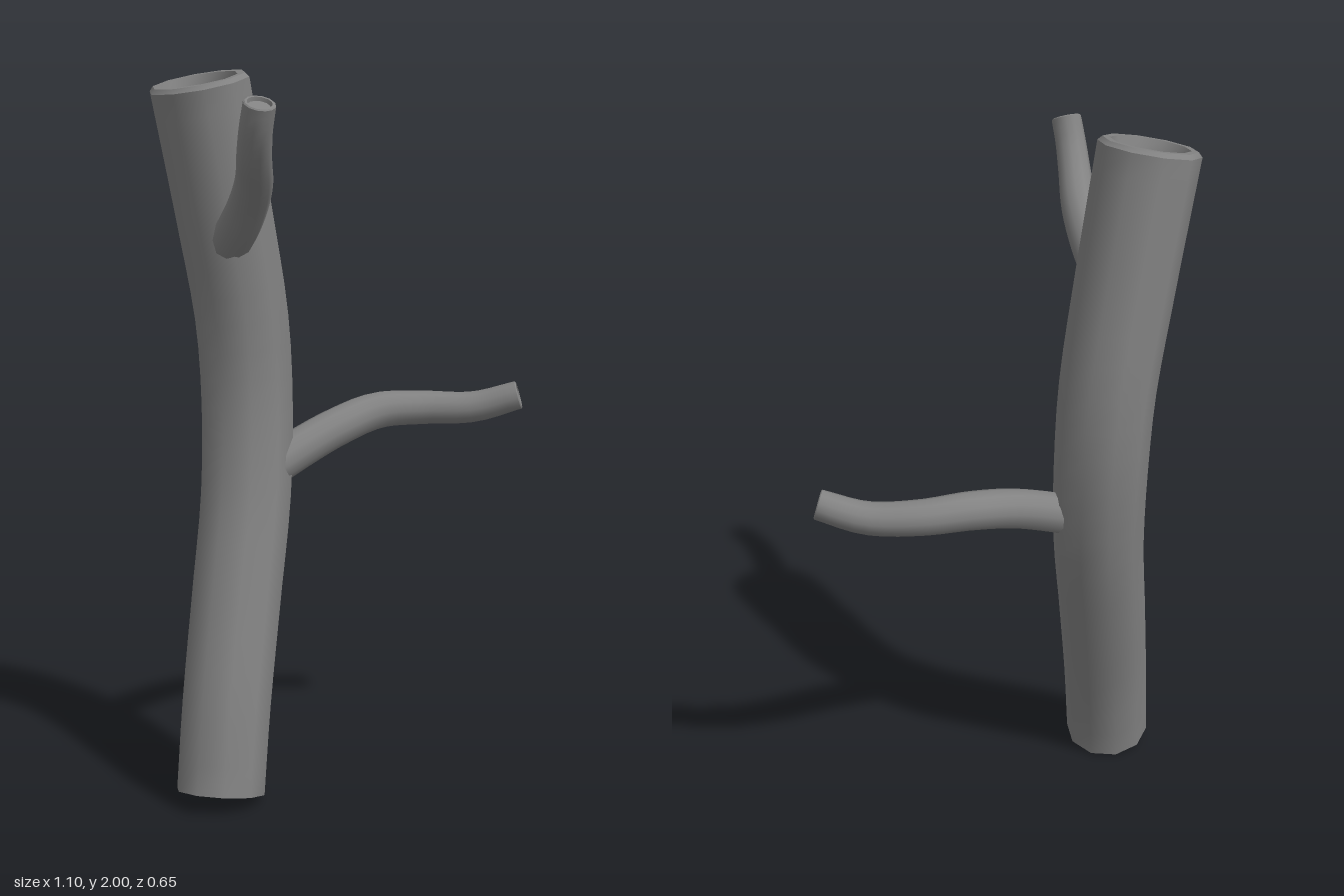
import * as THREE from 'three';
import { toCreasedNormals } from 'three/addons/utils/BufferGeometryUtils.js';

const material = new THREE.MeshStandardMaterial({ color: 0x828282, side: THREE.DoubleSide });

// Tapered limb swept along a curve, open at the base, with a bevelled, hollowed cut end.
// points: [x, y, z, radius]
function limb(name, points, { sides, steps, bevel, twist = 0 }) {
  const curve = new THREE.CatmullRomCurve3(points.map(p => new THREE.Vector3(p[0], p[1], p[2])));
  const frames = curve.computeFrenetFrames(steps, false);
  const radiusAt = u => {
    const t = curve.getUtoTmapping(u) * (points.length - 1);
    const i = Math.min(Math.floor(t), points.length - 2);
    return THREE.MathUtils.lerp(points[i][3], points[i + 1][3], t - i);
  };

  // Rings: frame index, distance along the tangent, radius
  const rings = [];
  for (let i = 0; i < steps; i++) rings.push([i, 0, radiusAt(i / steps)]);
  const r = points[points.length - 1][3];
  rings.push(
    [steps, -bevel, r],               // outer edge of the cut
    [steps, 0, r * 0.92],             // bevel
    [steps, 0, r * 0.78],             // flat rim
    [steps, -r * 0.24, r * 0.71],     // recess wall
    [steps, -r * 0.24, 0]             // recess floor
  );

  const positions = [], index = [];
  rings.forEach(([f, along, radius], k) => {
    const centre = curve.getPointAt(f / steps).addScaledVector(frames.tangents[f], along);
    for (let j = 0; j < sides; j++) {
      const a = j / sides * Math.PI * 2 + twist;
      const v = centre.clone()
        .addScaledVector(frames.normals[f], Math.cos(a) * radius)
        .addScaledVector(frames.binormals[f], Math.sin(a) * radius);
      positions.push(v.x, v.y, v.z);
      if (k === 0) continue;
      const n = (j + 1) % sides, lo = (k - 1) * sides, hi = k * sides;
      index.push(lo + j, lo + n, hi + n);
      if (k < rings.length - 1) index.push(lo + j, hi + n, hi + j);
    }
  });

  const geometry = new THREE.BufferGeometry();
  geometry.setAttribute('position', new THREE.Float32BufferAttribute(positions, 3));
  geometry.setIndex(index);
  const mesh = new THREE.Mesh(toCreasedNormals(geometry, 0.7), material);
  mesh.name = name;
  return mesh;
}

export function createModel() {
  const group = new THREE.Group();
  group.name = 'branchedTrunk';

  // Main trunk, bowed in the middle
  group.add(limb('trunk', [
    [-0.435, 0.026, -0.007, 0.125],
    [-0.392, 0.26, -0.042, 0.126],
    [-0.319, 0.55, -0.101, 0.128],
    [-0.25, 0.83, -0.155, 0.13],
    [-0.222, 1.1, -0.19, 0.132],
    [-0.233, 1.32, -0.196, 0.134],
    [-0.287, 1.6, -0.192, 0.137],
    [-0.367, 1.975, -0.187, 0.14]
  ], { sides: 10, steps: 24, bevel: 0.012, twist: 0.14 }));

  // Lower branch, reaching left and curling forward
  group.add(limb('lowerBranch', [
    [-0.2, 0.898, -0.115, 0.059],
    [-0.1, 0.943, -0.112, 0.058],
    [0.03, 0.993, -0.108, 0.056],
    [0.17, 1.028, -0.102, 0.054],
    [0.3, 1.03, -0.055, 0.05],
    [0.42, 1.032, 0.03, 0.046],
    [0.52, 1.07, 0.117, 0.042]
  ], { sides: 12, steps: 22, bevel: 0.003 }));

  // Upper branch, rising forward
  group.add(limb('upperBranch', [
    [-0.315, 1.54, -0.12, 0.06],
    [-0.328, 1.59, -0.05, 0.058],
    [-0.35, 1.658, 0.035, 0.054],
    [-0.39, 1.723, 0.125, 0.05],
    [-0.44, 1.788, 0.205, 0.046],
    [-0.468, 1.858, 0.258, 0.043],
    [-0.475, 1.922, 0.288, 0.042]
  ], { sides: 12, steps: 22, bevel: 0.003 }));

  return group;
}
